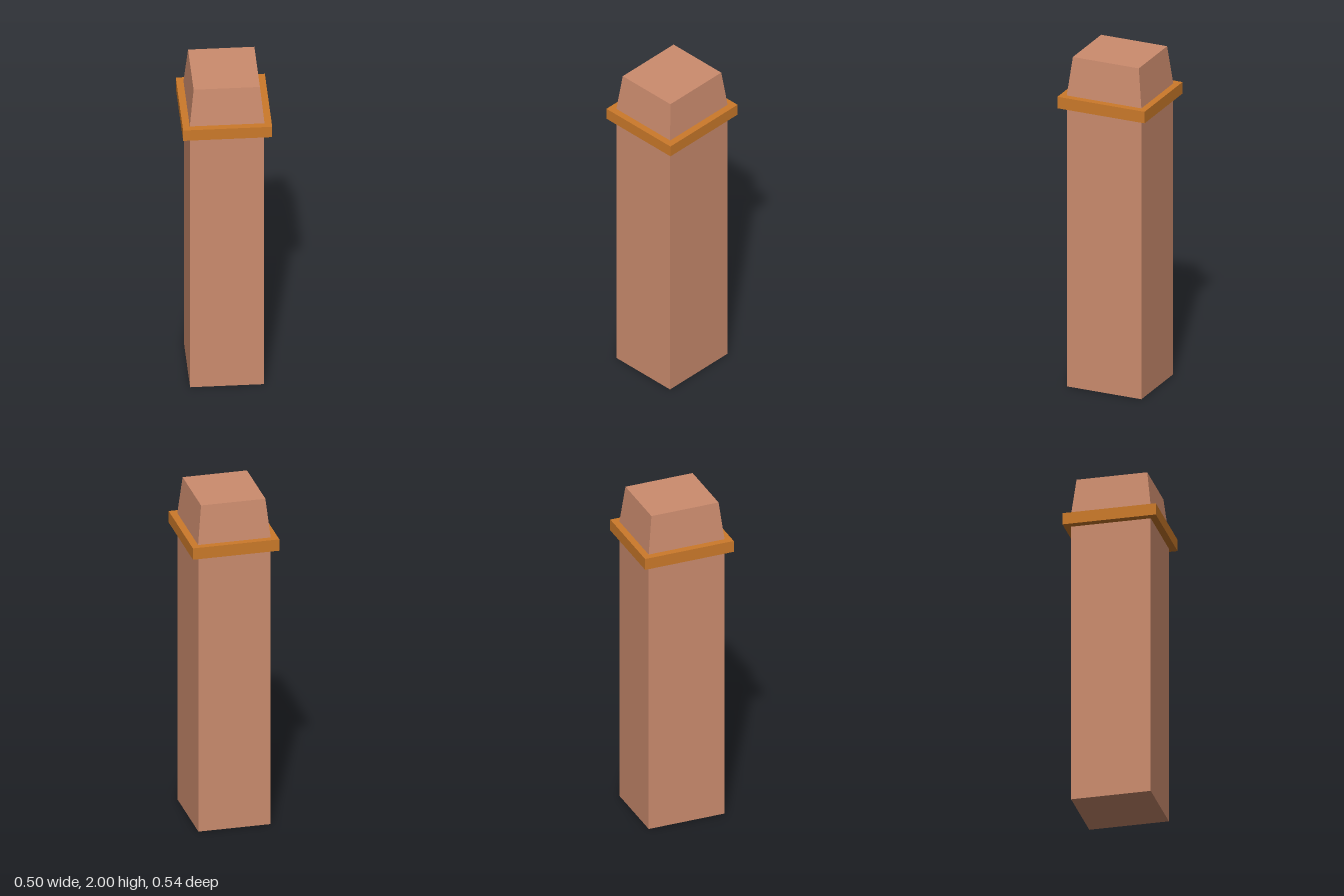
import * as THREE from 'three';

const brick = new THREE.MeshStandardMaterial({ color: 0xcc8c6e });
brick.name = 'terracotta';
const trim = new THREE.MeshStandardMaterial({ color: 0xcc7a2a });
trim.name = 'ochre trim';

// Box standing on y0, with an optional smaller top
function block(name, material, y0, y1, width, depth, topWidth = width, topDepth = depth) {
  const geometry = new THREE.BoxGeometry(width, y1 - y0, depth).translate(0, (y0 + y1) / 2, 0);
  const p = geometry.attributes.position;
  for (let i = 0; i < p.count; i++) {
    if (p.getY(i) > (y0 + y1) / 2) {
      p.setX(i, Math.sign(p.getX(i)) * topWidth / 2);
      p.setZ(i, Math.sign(p.getZ(i)) * topDepth / 2);
    }
  }
  geometry.computeVertexNormals();
  const mesh = new THREE.Mesh(geometry, material);
  mesh.name = name;
  return mesh;
}

export function createModel() {
  const group = new THREE.Group();
  group.name = 'pillar';
  group.add(
    block('shaft', brick, 0, 1.7, 0.42, 0.464),
    block('collar', trim, 1.7, 1.77, 0.505, 0.544),
    // Tapered cap above the collar
    block('cap', brick, 1.77, 2, 0.424, 0.466, 0.376, 0.412),
  );
  return group;
}
